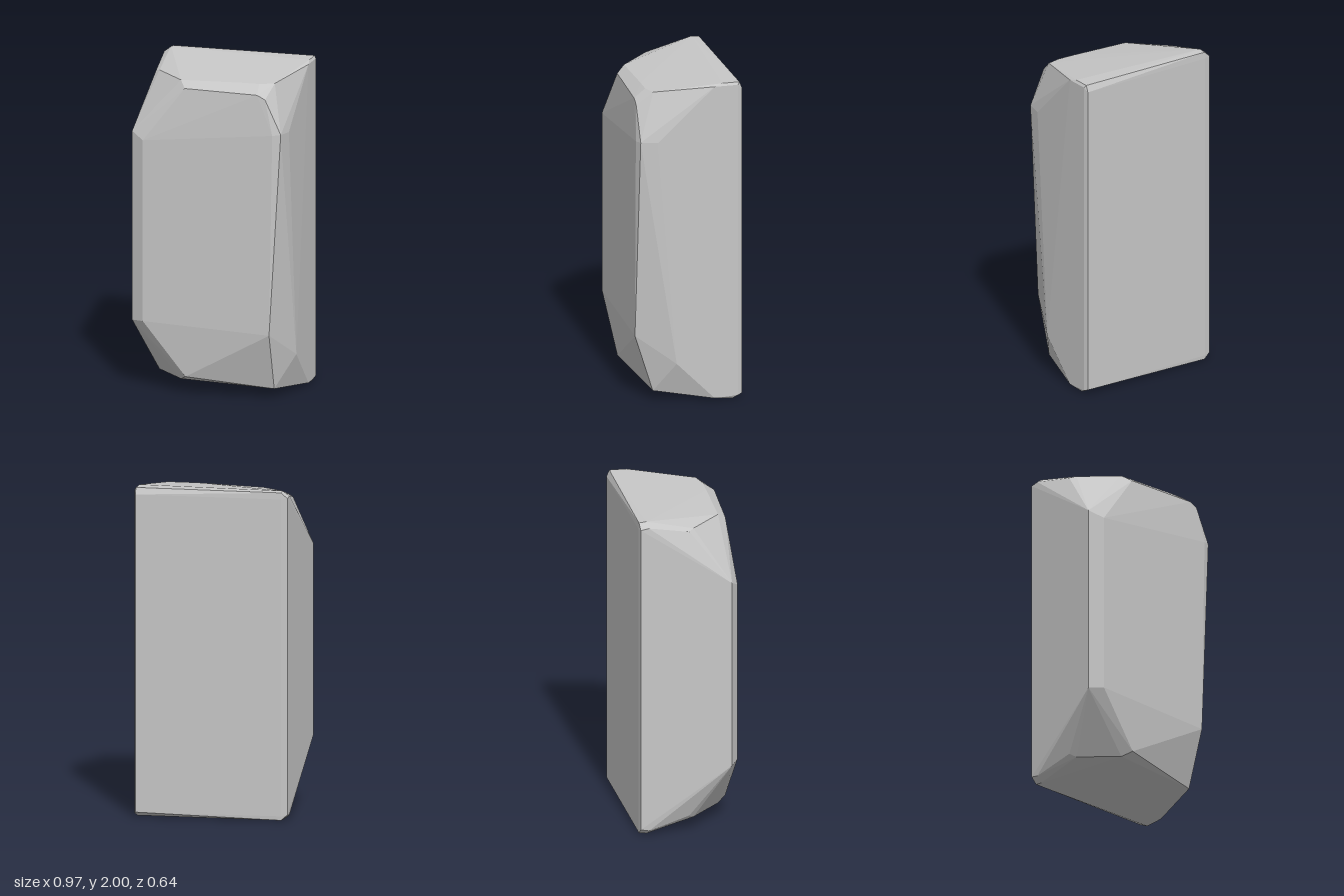
import * as THREE from 'three';
import { ConvexGeometry } from 'three/addons/geometries/ConvexGeometry.js';

export function createModel() {
  const group = new THREE.Group();
  group.name = 'stoneSlab';
  const stone = new THREE.MeshStandardMaterial({ color: 0xc7c7c7 });
  stone.name = 'pale grey stone';

  // chipped corners of the block, x y z
  const corners = [
    // narrow left edge and front face
    [-0.487, 1.6, 0.267], [-0.487, 0.43, 0.267],
    [-0.405, 1.56, 0.315], [-0.405, 0.44, 0.315],
    [0.41, 1.655, 0.318], [0.458, 1.66, 0.3], [0.477, 1.655, 0.2],
    [0.39, 0.415, 0.318],
    // upper front chamfer
    [-0.15, 1.895, 0.287], [0.31, 1.895, 0.303], [0.36, 1.87, 0.303],
    [-0.19, 1.932, 0.235], [0.19, 1.945, 0.232], [0.3, 1.946, 0.232], [0.39, 1.95, 0.205],
    [-0.385, 1.93, 0.05], [-0.415, 1.92, 0.02],
    // lower front chamfer
    [-0.145, 0.11, 0.287], [-0.19, 0.08, 0.235], [0.387, 0.058, 0.207],
    [-0.385, 0.078, 0.05], [-0.415, 0.1, 0.02],
    // top
    [-0.405, 2, -0.24], [-0.405, 1.995, -0.285], [-0.445, 1.97, -0.23], [-0.445, 1.96, -0.28],
    [0.487, 1.985, -0.15], [0.477, 2, -0.2], [0.477, 2, -0.305], [0.487, 1.985, -0.295],
    [0.477, 1.96, -0.322], [-0.405, 1.955, -0.287],
    // underside
    [-0.405, 0, -0.24], [-0.405, 0.005, -0.285], [-0.445, 0.03, -0.23], [-0.445, 0.04, -0.28],
    [0.487, 0.012, -0.15], [0.477, 0, -0.26], [0.487, 0.02, -0.295],
    [0.477, 0.03, -0.322], [-0.405, 0.03, -0.287],
    // right flank
    [0.487, 0.25, 0.085],
  ];
  const points = corners.map(([x, y, z]) => new THREE.Vector3(x, y, z));
  const slab = new THREE.Mesh(new ConvexGeometry(points), stone);
  slab.name = 'slab';
  group.add(slab);
  return group;
}
